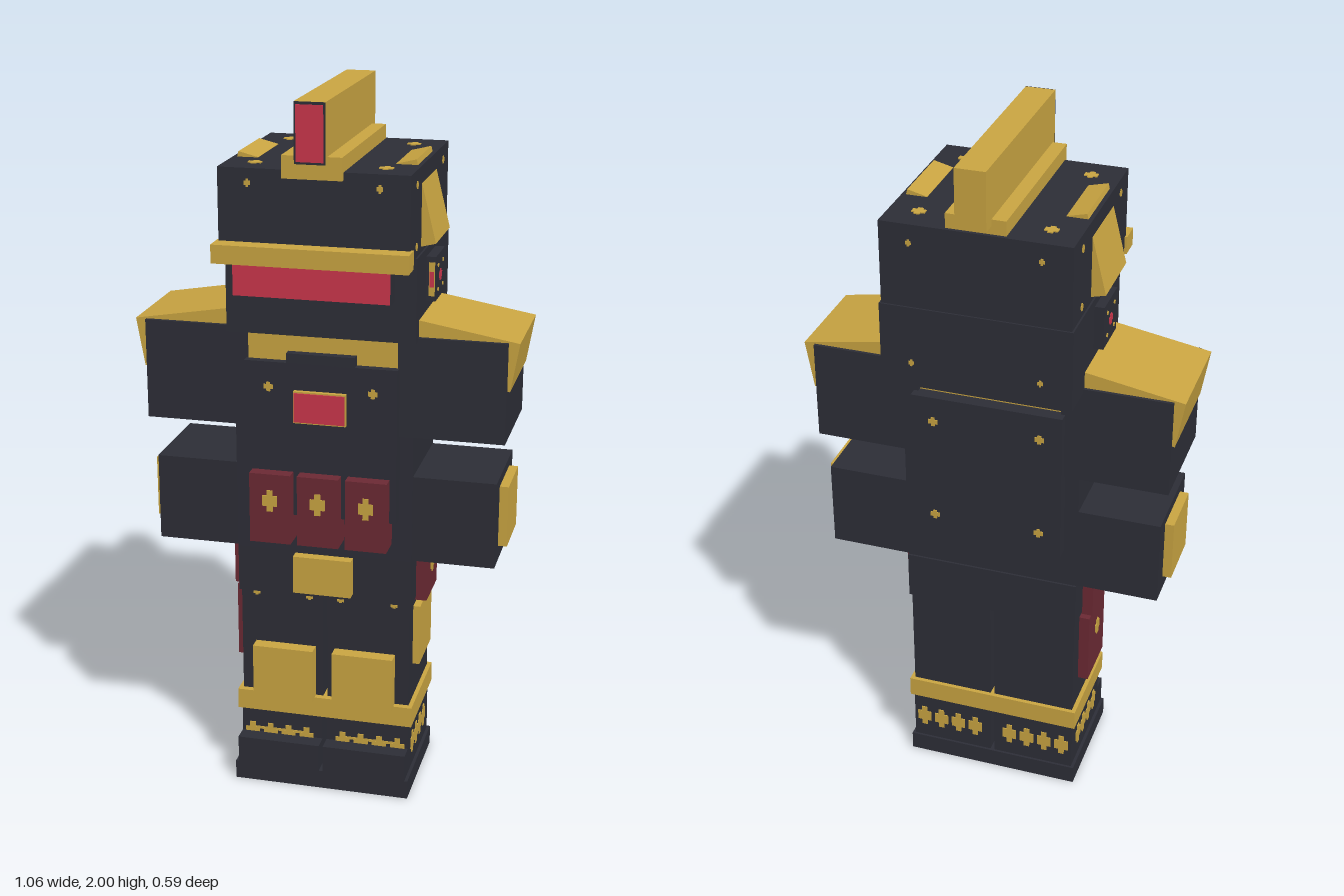
import * as THREE from 'three';

const mat = (name, color) => {
  const m = new THREE.MeshStandardMaterial({ color });
  m.name = name;
  return m;
};

export function createModel() {
  const dark = mat('charcoal', 0x2d2e37);
  const gold = mat('gold', 0xcba642);
  const red = mat('bright red', 0xcc364c);
  const maroon = mat('maroon', 0x6c2a34);

  const model = new THREE.Group();
  model.name = 'armouredFigure';

  // Box from its limits on each axis
  const box = (name, m, x0, x1, y0, y1, z0, z1) => {
    const mesh = new THREE.Mesh(new THREE.BoxGeometry(x1 - x0, y1 - y0, z1 - z0), m);
    mesh.position.set((x0 + x1) / 2, (y0 + y1) / 2, (z0 + z1) / 2);
    mesh.name = name;
    model.add(mesh);
    return mesh;
  };
  // The same box on the left (s = 1) or right (s = -1) side
  const sideBox = (s, name, m, x0, x1, ...rest) =>
    s > 0 ? box(name, m, x0, x1, ...rest) : box(name, m, -x1, -x0, ...rest);

  // Thin stepped cross lying on a face
  const turns = {
    front: [0, 0], back: [0, Math.PI], left: [0, Math.PI / 2],
    right: [0, -Math.PI / 2], top: [-Math.PI / 2, 0],
  };
  const badge = (name, m, face, x, y, z, w, h) => {
    const a = w / 2, b = h / 2, c = w / 5, d = h / 4;
    const shape = new THREE.Shape([
      [-c, -b], [c, -b], [c, -d], [a, -d], [a, d], [c, d],
      [c, b], [-c, b], [-c, d], [-a, d], [-a, -d], [-c, -d],
    ].map(([u, v]) => new THREE.Vector2(u, v)));
    const mesh = new THREE.Mesh(
      new THREE.ExtrudeGeometry(shape, { depth: 0.003, bevelEnabled: false }), m);
    mesh.position.set(x, y, z);
    mesh.rotation.set(turns[face][0], turns[face][1], 0);
    mesh.name = name;
    model.add(mesh);
  };

  // Helmet
  box('helmetTop', dark, -0.255, 0.255, 1.585, 1.82, -0.265, 0.243);
  box('helmetLower', dark, -0.26, 0.26, 1.36, 1.59, -0.27, 0.173);
  box('visorFrame', dark, -0.212, 0.212, 1.487, 1.578, 0.225, 0.27);
  box('visor', red, -0.21, 0.21, 1.489, 1.576, 0.268, 0.273);
  box('brow', gold, -0.262, 0.262, 1.576, 1.626, 0.23, 0.293);
  box('crestBase', gold, -0.08, 0.08, 1.8, 1.86, -0.255, 0.257);
  box('crest', gold, -0.041, 0.041, 1.842, 2, -0.293, 0.274);
  box('crestFrontFrame', dark, -0.041, 0.041, 1.842, 2, 0.274, 0.276);
  box('crestFront', red, -0.036, 0.036, 1.848, 1.993, 0.275, 0.278);

  // Torso, chest plate and back plate
  box('torso', dark, -0.25, 0.25, 0.72, 1.285, -0.15, 0.137);
  box('collar', gold, -0.207, 0.207, 1.27, 1.39, -0.152, 0.15);
  box('chestPlate', dark, -0.212, 0.212, 0.845, 1.283, 0.12, 0.174);
  box('chestLatch', dark, -0.095, 0.095, 1.28, 1.31, 0.12, 0.174);
  box('backPlate', dark, -0.212, 0.212, 0.838, 1.283, -0.19, -0.14);
  box('gemMount', gold, -0.073, 0.073, 1.118, 1.208, 0.17, 0.187);
  box('gem', red, -0.07, 0.07, 1.122, 1.204, 0.186, 0.191);

  // Lower arms joined behind the belt pouches
  box('forearms', dark, -0.48, 0.48, 0.725, 0.972, -0.146, 0.136);
  [-0.135, 0, 0.135].forEach((x) => {
    box('frontPouch', maroon, x - 0.058, x + 0.058, 0.77, 0.972, 0.13, 0.21);
    badge('pouchBadge', gold, 'front', x, 0.895, 0.21, 0.042, 0.062);
  });

  // Waist and buckle
  box('waist', dark, -0.25, 0.25, 0.585, 0.725, -0.156, 0.136);
  box('buckle', gold, -0.083, 0.083, 0.605, 0.715, 0.13, 0.166);

  for (const s of [1, -1]) {
    const out = s > 0 ? 'left' : 'right';

    // Temple plate, leaning inwards
    const temple = box('templePlate', gold, -0.028, 0.028, -0.113, 0.113, -0.097, 0.101);
    temple.position.set(s * 0.24, 1.718, 0.002);
    temple.rotation.z = s * 0.245;

    // Ear piece
    sideBox(s, 'earPiece', dark, 0.25, 0.286, 1.445, 1.567, -0.075, 0.05);
    sideBox(s, 'earTrim', gold, 0.268, 0.284, 1.46, 1.552, 0.049, 0.053);
    sideBox(s, 'earTrimCentre', red, 0.27, 0.282, 1.485, 1.527, 0.052, 0.055);
    badge('earLight', red, out, s * 0.286, 1.506, -0.012, 0.03, 0.03);
    for (const dy of [-0.033, 0.033]) for (const dz of [-0.033, 0.033])
      badge('earStud', gold, out, s * 0.286, 1.506 + dy, -0.012 + dz, 0.01, 0.01);

    // Upper arm with sloping shoulder cap
    sideBox(s, 'upperArm', dark, 0.2, 0.5, 1.09, 1.37, -0.164, 0.149);
    const cap = box('shoulderCap', gold, -0.145, 0.145, -0.068, 0.068, -0.155, 0.138);
    cap.position.set(s * 0.376, 1.327, -0.0085);
    cap.rotation.z = -s * 0.168;
    sideBox(s, 'wristPlate', gold, 0.47, 0.505, 0.77, 0.945, -0.09, 0.08);

    // Hip pouch and thigh plate
    sideBox(s, 'hipPouch', maroon, 0.24, 0.281, 0.577, 0.718, -0.08, 0.07);
    badge('hipBadge', gold, out, s * 0.281, 0.663, -0.005, 0.042, 0.045);
    if (s > 0) {
      box('thighPlate', gold, 0.235, 0.265, 0.38, 0.56, -0.09, 0.078);
    } else {
      box('thighHolster', maroon, -0.275, -0.235, 0.35, 0.57, -0.09, 0.07);
      badge('holsterBadge', gold, out, -0.275, 0.487, -0.005, 0.04, 0.05);
    }

    // Leg, knee and boot
    sideBox(s, 'leg', dark, 0.006, 0.245, 0.21, 0.59, -0.146, 0.126);
    sideBox(s, 'kneePlate', gold, 0.028, 0.204, 0.265, 0.425, 0.12, 0.165);
    sideBox(s, 'bootCuff', gold, 0, 0.257, 0.21, 0.27, -0.158, 0.144);
    sideBox(s, 'boot', dark, 0.006, 0.247, 0.05, 0.21, -0.15, 0.136);
    sideBox(s, 'sole', dark, 0, 0.256, 0, 0.055, -0.157, 0.183);
    sideBox(s, 'toe', dark, 0.006, 0.247, 0.05, 0.135, 0.13, 0.183);

    // Row of boot ornaments on three faces
    for (let i = 0; i < 4; i++) {
      const k = (i - 1.5) * 0.054;
      badge('bootOrnament', gold, 'front', s * 0.135 + k, 0.132, 0.136, 0.042, 0.066);
      badge('bootOrnament', gold, 'back', s * 0.135 + k, 0.132, -0.15, 0.042, 0.066);
      badge('bootOrnament', gold, out, s * 0.247, 0.132, k - 0.002, 0.042, 0.066);
    }
    sideBox(s, 'ornamentBar', gold, 0.05, 0.22, 0.144, 0.152, 0.135, 0.138);

    // Rivets
    for (const z of [-0.185, 0.167]) {
      badge('helmetRivet', gold, 'top', s * 0.175, 1.82, z, 0.036, 0.036);
      for (const y of [1.62, 1.782])
        badge('helmetSideRivet', gold, out, s * 0.255, y, z, 0.015, 0.02);
    }
    badge('helmetFrontRivet', gold, 'front', s * 0.175, 1.782, 0.243, 0.016, 0.022);
    for (const y of [1.43, 1.77])
      badge('helmetBackRivet', gold, 'back', s * 0.175, y, y > 1.6 ? -0.265 : -0.27, 0.014, 0.018);
    badge('chestRivet', gold, 'front', s * 0.145, 1.213, 0.174, 0.026, 0.026);
    for (const y of [0.91, 1.21])
      badge('backRivet', gold, 'back', s * 0.15, y, -0.19, 0.026, 0.026);
    for (const x of [0.045, 0.2])
      badge('legRivet', gold, 'front', s * x, 0.577, 0.126, 0.02, 0.014);
  }

  return model;
}
